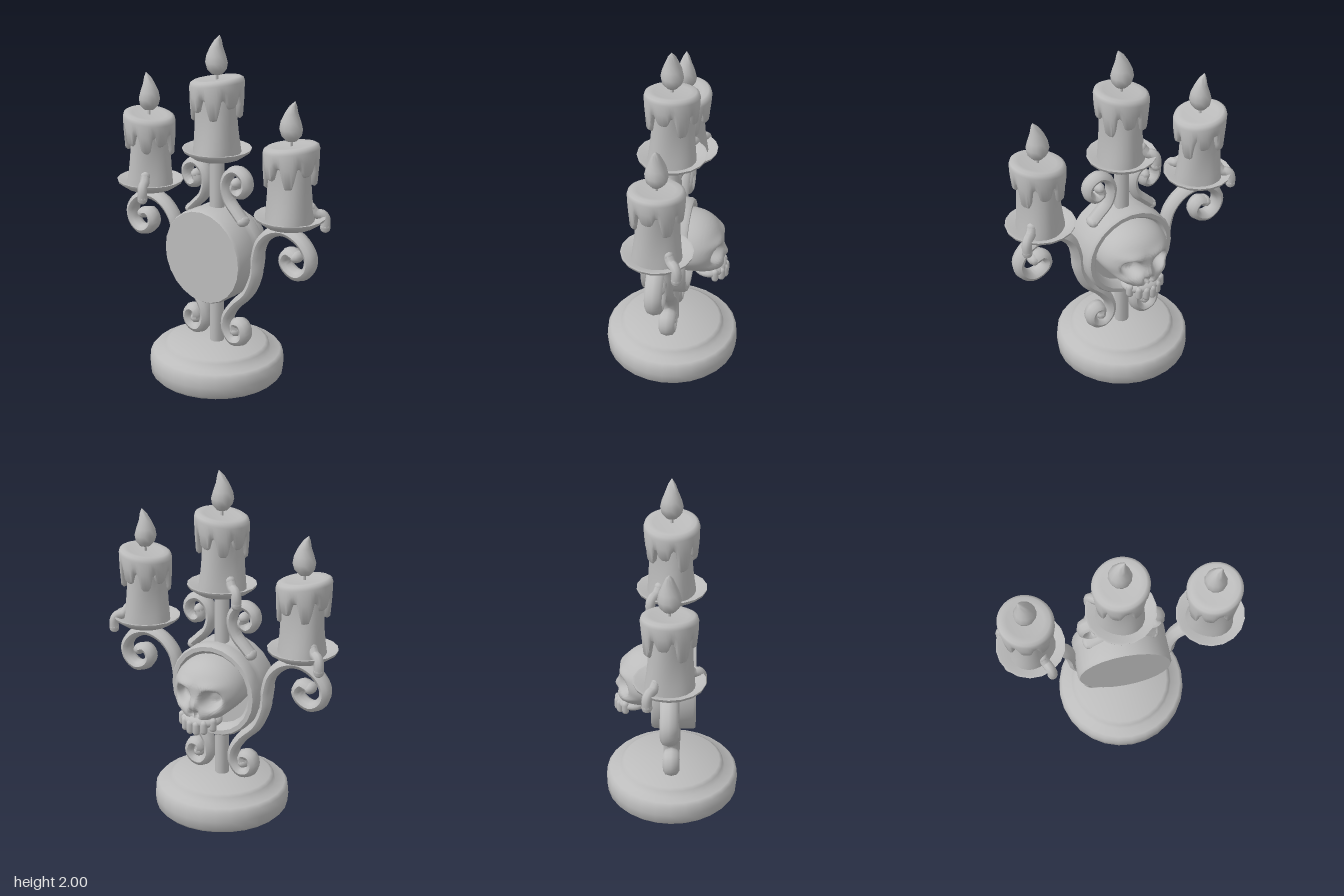
import * as THREE from 'three';
import { toCreasedNormals } from 'three/addons/utils/BufferGeometryUtils.js';

const grey = new THREE.MeshStandardMaterial({ color: 0xbcbcbc });
grey.name = 'grey';

function mesh(name, geometry, crease = 0.7) {
  const m = new THREE.Mesh(toCreasedNormals(geometry, crease), grey);
  m.name = name;
  return m;
}

function lathe(points, segments) {
  return new THREE.LatheGeometry(points.map(([r, y]) => new THREE.Vector2(r, y)), segments);
}

// Move every vertex of a geometry by a rule
function bend(geometry, rule) {
  const p = geometry.attributes.position, v = new THREE.Vector3();
  for (let i = 0; i < p.count; i++) {
    v.fromBufferAttribute(p, i);
    rule(v);
    p.setXYZ(i, v.x, v.y, v.z);
  }
  geometry.computeVertexNormals();
  return geometry;
}

// Tube with round ends through 3D points
function rod(name, points, radius, segments, widen = 1) {
  const g = new THREE.Group();
  g.name = name;
  const pts = points.map(p => new THREE.Vector3(...p));
  const curve = new THREE.CatmullRomCurve3(pts, false, 'centripetal');
  const tube = new THREE.TubeGeometry(curve, segments, radius, 8).scale(widen, 1, 1);
  g.add(mesh(name + 'Body', tube, 1.0));
  for (const p of [pts[0], pts[pts.length - 1]]) {
    const end = new THREE.SphereGeometry(radius * 1.05, 10, 8).scale(widen, 1, 1);
    end.translate(p.x * widen, p.y, p.z);
    g.add(mesh(name + 'End', end, 1.2));
  }
  return g;
}

// Wax cap whose hem runs down in drips at chosen angles
function waxCap() {
  const drips = [[0.2, 0.07], [1.0, 0.12], [1.8, 0.05], [2.6, 0.11], [3.5, 0.07], [4.2, 0.13], [5.0, 0.06], [5.7, 0.1]];
  const hem = (a) => {
    let d = 0;
    for (const [c, len] of drips) {
      const t = Math.atan2(Math.sin(a - c), Math.cos(a - c)) / 0.27;
      d = Math.max(d, len * Math.exp(-(t ** 6)));
    }
    return d;
  };
  const g = lathe([[0.108, 0.37], [0.128, 0.362], [0.143, 0.375], [0.15, 0.41], [0.152, 0.44],
    [0.146, 0.46], [0.13, 0.47], [0.1, 0.466], [0, 0.462]], 64);
  return bend(g, v => {
    const d = hem(Math.atan2(v.z, v.x));
    const low = THREE.MathUtils.clamp((0.44 - v.y) / 0.065, 0, 1);
    v.y += 0.14 * v.z * (1 - low * 0.5) - d * low;
  });
}

function candle(name, y, z, turn, runoffs) {
  const g = new THREE.Group();
  g.name = name;
  // Shallow drip dish
  g.add(mesh('dish', lathe([[0, 0], [0.07, 0.005], [0.14, 0.025], [0.19, 0.06], [0.195, 0.075],
    [0.183, 0.075], [0.13, 0.047], [0, 0.04]], 18)));
  // Waxy body with soft flutes
  const body = new THREE.CylinderGeometry(0.118, 0.135, 0.4, 24, 6, true).translate(0, 0.24, 0);
  g.add(mesh('candleBody', bend(body, v => {
    const a = Math.atan2(v.z, v.x);
    const k = 1 + 0.05 * Math.sin(3 * a + 6 * v.y) - 0.07 * Math.sin(Math.PI * (v.y - 0.04) / 0.4);
    v.x *= k;
    v.z *= k;
  }), 1.0));
  g.add(mesh('waxCap', waxCap(), 1.2));
  // Wax running over the dish edge
  for (const a of runoffs) {
    const at = (r, h) => [r * Math.cos(a), h, r * Math.sin(a)];
    g.add(rod('waxRunoff', [at(0.11, 0.12), at(0.14, 0.085), at(0.175, 0.078), at(0.192, 0.05), at(0.192, 0.005)], 0.028, 14));
  }
  g.add(mesh('wick', new THREE.CylinderGeometry(0.009, 0.009, 0.07, 6).translate(0, 0.485, 0)));
  const flame = lathe([[0, 0.485], [0.03, 0.492], [0.055, 0.52], [0.063, 0.555], [0.054, 0.595],
    [0.036, 0.64], [0.02, 0.68], [0, 0.708]], 12);
  g.add(mesh('flame', bend(flame, v => {
    const t = (v.y - 0.485) / 0.223;
    v.z += 0.02 * t * t - 0.022 * Math.sin(Math.PI * t) * t;
  }), 1.0));
  g.position.set(0, y, z);
  g.rotation.y = turn;
  return g;
}

function skull() {
  const g = new THREE.Group();
  g.name = 'skull';
  const bump = (z, y, cz, cy, rz, ry, n = 1) =>
    Math.exp(-((((z - cz) / rz) ** 2 + ((y - cy) / ry) ** 2) ** n));
  // Domed head with carved sockets, brow, cheeks and jaw
  const head = new THREE.SphereGeometry(1, 72, 72).rotateZ(-Math.PI / 2);
  g.add(mesh('skullHead', bend(head, v => {
    const front = v.x > 0;
    const low = THREE.MathUtils.smoothstep(-v.y, 0, 0.8);
    const depth = front ? Math.pow(v.x, 0.8 - 0.4 * low) : v.x;
    const z = 0.213 * v.z * (1 - 0.2 * low);
    const y = 0.79 + 0.18 * v.y;
    let x = 0.08 + 0.22 * depth;
    if (front) {
      const s = Math.abs(z), w = Math.min(1, v.x * 2.5);
      x += w * (0.035 * bump(z, y, 0, 0.66, 0.11, 0.07, 2)
        + 0.03 * bump(s, y, 0.14, 0.7, 0.05, 0.03)
        + 0.015 * bump(s, y, 0.085, 0.85, 0.07, 0.025)
        + 0.025 * bump(z, y, 0, 0.745, 0.025, 0.03)
        - 0.075 * bump(s, y, 0.088, 0.778, 0.052, 0.05, 3)
        - 0.04 * bump(s, y, 0.015, 0.69, 0.014, 0.022));
    }
    v.set(x, y, z);
  }), 1.3));
  // Upper jaw and its row of teeth
  const jaw = new THREE.SphereGeometry(1, 24, 14).scale(0.1, 0.045, 0.125).translate(0.222, 0.637, 0);
  g.add(mesh('upperJaw', jaw, 1.0));
  for (let i = 0; i < 6; i++) {
    const z = (i - 2.5) * 0.04;
    const tooth = new THREE.CapsuleGeometry(0.021, 0.042, 4, 10);
    tooth.translate(0.314 - 5 * z * z, 0.607 + 2.2 * z * z, z);
    g.add(mesh('tooth', tooth, 1.0));
  }
  return g;
}

export function createModel() {
  const model = new THREE.Group();
  model.name = 'candelabra';

  // Softly stepped round base and central post
  model.add(mesh('base', lathe([[0, 0], [0.37, 0], [0.388, 0.02], [0.393, 0.075], [0.388, 0.13],
    [0.37, 0.15], [0.315, 0.152], [0.305, 0.185], [0.285, 0.198], [0, 0.2]], 28), 1.5));
  model.add(mesh('post', new THREE.CylinderGeometry(0.042, 0.042, 1.12, 10).translate(0, 0.75, 0)));

  // Medallion with a raised rim, facing +x
  const disc = lathe([[0, -0.14], [0.268, -0.14], [0.276, -0.125], [0.276, 0], [0.27, 0.02], [0.276, 0.04],
    [0.276, 0.095], [0.265, 0.112], [0.24, 0.112], [0.218, 0.085], [0.212, 0.05], [0, 0.05]], 24);
  model.add(mesh('medallion', disc.rotateZ(-Math.PI / 2).translate(0, 0.753, 0)));
  model.add(skull());

  // Mirrored scrollwork, points as [z, y]
  const arm = [[0.15, 0.3], [0.145, 0.345], [0.19, 0.35], [0.213, 0.3], [0.19, 0.25], [0.13, 0.238], [0.085, 0.29],
    [0.085, 0.37], [0.14, 0.46], [0.235, 0.56], [0.285, 0.68], [0.295, 0.79], [0.325, 0.89], [0.4, 0.965], [0.5, 0.99],
    [0.6, 0.95], [0.655, 0.87], [0.64, 0.795], [0.58, 0.755], [0.51, 0.78], [0.485, 0.83], [0.515, 0.875], [0.565, 0.86]];
  const crest = [[0.19, 0.975], [0.15, 1.015], [0.09, 1.08], [0.068, 1.17], [0.095, 1.235], [0.15, 1.262],
    [0.208, 1.23], [0.215, 1.17], [0.175, 1.13], [0.135, 1.15], [0.145, 1.19]];
  for (const side of [1, -1]) {
    const path = pts => pts.map(([z, y]) => [0, y, z * side]);
    model.add(rod(side > 0 ? 'leftArm' : 'rightArm', path(arm), 0.032, 110, 1.5));
    model.add(rod(side > 0 ? 'leftCrest' : 'rightCrest', path(crest), 0.029, 56, 1.5));
  }

  // Three candles on dishes
  model.add(candle('centreCandle', 1.292, 0, 0, [-0.95]));
  model.add(candle('leftCandle', 1.01, 0.51, 0, [0.86]));
  model.add(candle('rightCandle', 1.01, -0.51, Math.PI, [2.2, -0.5]));
  return model;
}
